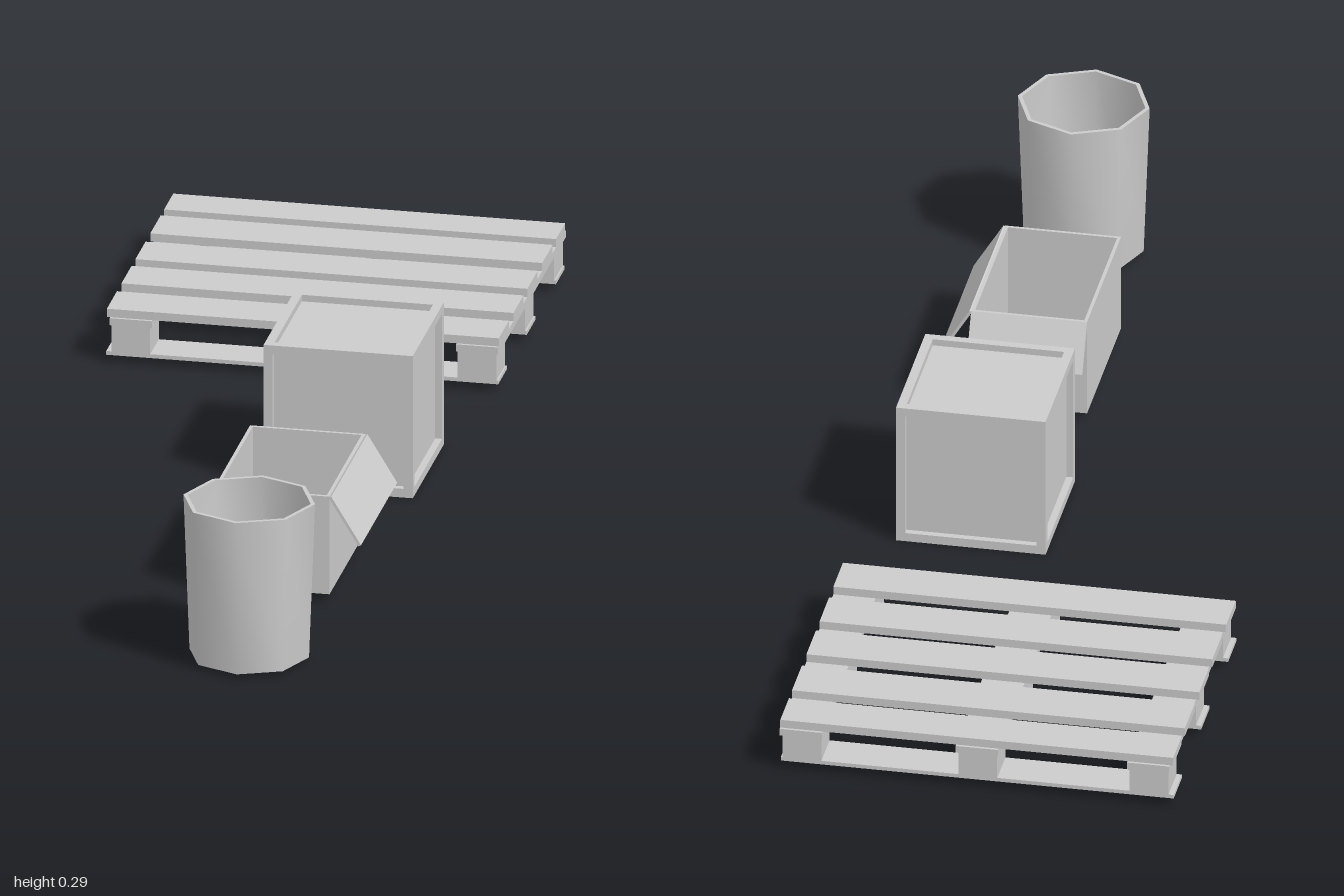
import * as THREE from 'three';
import { toCreasedNormals } from 'three/addons/utils/BufferGeometryUtils.js';

const grey = new THREE.MeshStandardMaterial({ color: 0xcccccc, side: THREE.DoubleSide });

// Box given by its min and max on each axis
function slab(parent, name, [x0, x1], [y0, y1], [z0, z1]) {
  const mesh = new THREE.Mesh(new THREE.BoxGeometry(x1 - x0, y1 - y0, z1 - z0), grey);
  mesh.position.set((x0 + x1) / 2, (y0 + y1) / 2, (z0 + z1) / 2);
  mesh.name = name;
  parent.add(mesh);
  return mesh;
}

function group(name) {
  const g = new THREE.Group();
  g.name = name;
  return g;
}

function createPallet() {
  const g = group('pallet');
  const full = [-0.345, 0.343];
  // Top slats
  for (const z of [[-0.995, -0.918], [-0.89, -0.802], [-0.762, -0.677], [-0.645, -0.56], [-0.522, -0.437]])
    slab(g, 'topSlat', full, [0.083, 0.098], z);
  // Stringers across, carried on blocks
  const rows = [[-0.99, -0.917], [-0.745, -0.672], [-0.505, -0.432]];
  for (const x of [-0.302, -0.002, 0.306]) {
    slab(g, 'stringer', [x - 0.037, x + 0.037], [0.07, 0.083], [-1, -0.432]);
    for (const z of rows) slab(g, 'block', [x - 0.034, x + 0.034], [0.022, 0.07], z);
  }
  // Bottom boards
  for (const z of rows) slab(g, 'bottomBoard', full, [0.015, 0.022], z);
  return g;
}

function createCrate() {
  const g = group('crate');
  const s = 0.131, t = 0.016, r = s - 0.012;
  slab(g, 'panels', [-r, r], [-r, r], [-r, r]);
  // Twelve frame beams, four along each axis
  const ends = [[-s, -s + t], [s - t, s]], inner = [-s + t, s - t];
  for (const a of ends) for (const b of ends) {
    slab(g, 'post', a, [-s, s], b);
    slab(g, 'railX', inner, a, b);
    slab(g, 'railZ', a, b, inner);
  }
  g.position.set(0.171, s, -0.042);
  return g;
}

function createCarton() {
  const g = group('carton');
  const [x0, x1, y0, y1, z0, z1, t] = [0.06, 0.263, 0.015, 0.195, 0.298, 0.602, 0.006];
  slab(g, 'floor', [x0, x1], [y0, y0 + t], [z0, z1]);
  for (const x of [x0, x1 - t]) slab(g, 'sideWall', [x, x + t], [y0 + t, y1], [z0, z1]);
  for (const z of [z0, z1 - t]) slab(g, 'endWall', [x0 + t, x1 - t], [y0 + t, y1], [z, z + t]);

  // Open flaps hanging outward from their top edges
  const side = group('sideFlap');
  slab(side, 'flap', [-0.005, 0], [-0.1, 0], [z0, z1]);
  side.position.set(x1 + 0.003, y1, 0);
  side.rotation.z = 0.55;
  const back = group('backFlap');
  slab(back, 'flap', [x0, x1], [-0.091, 0], [0, 0.004]);
  back.position.set(0, y1, z0);
  back.rotation.x = 0.5;
  g.add(side, back);
  return g;
}

function createBin() {
  // Eight-sided tapered bin with a hollow inside
  const profile = [[0, 0.008], [0.105, 0.008], [0.1155, 0.291], [0.108, 0.291], [0.098, 0.016], [0, 0.016]]
    .map(([x, y]) => new THREE.Vector2(x, y));
  const bin = new THREE.Mesh(toCreasedNormals(new THREE.LatheGeometry(profile, 8), 1.0), grey);
  bin.name = 'bin';
  bin.position.set(0.181, 0, 0.884);
  return bin;
}

export function createModel() {
  const model = group('warehouseProps');
  model.add(createPallet(), createCrate(), createCarton(), createBin());
  return model;
}
